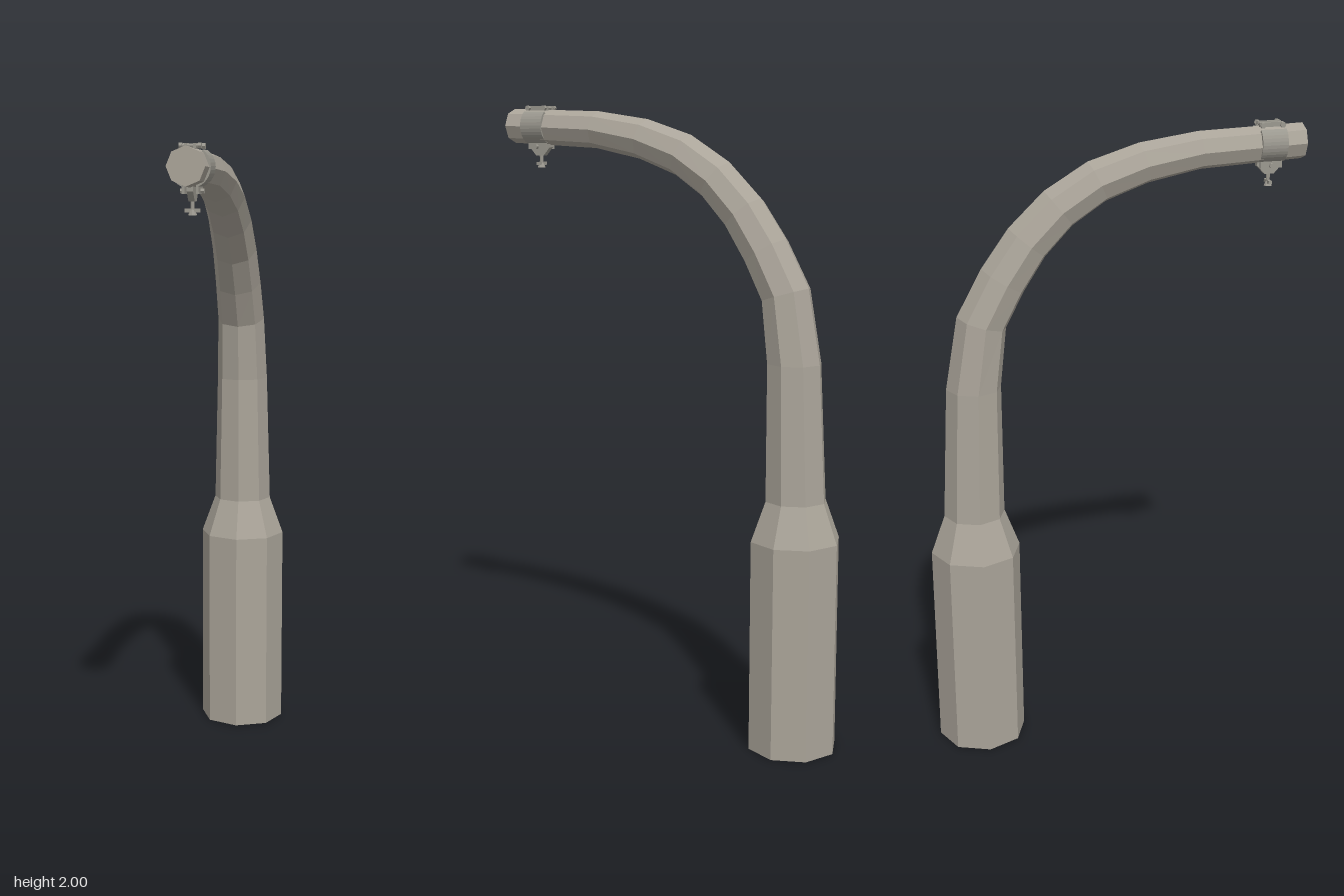
import * as THREE from 'three';

const postGrey = new THREE.MeshStandardMaterial({ color: 0xaaa499, flatShading: true });
postGrey.name = 'warm grey';
const clampGrey = new THREE.MeshStandardMaterial({ color: 0x9b988f, flatShading: true });
clampGrey.name = 'clamp grey';

// Octagonal loft along stations of [z, y, radius, optional tangent angle from vertical]
function loft(stations, sides = 8) {
  const pos = [], idx = [];
  stations.forEach(([z, y, r, lean], i) => {
    const a = stations[Math.max(i - 1, 0)], b = stations[Math.min(i + 1, stations.length - 1)];
    const ang = lean ?? Math.atan2(b[0] - a[0], b[1] - a[1]);
    for (let j = 0; j < sides; j++) {
      const t = j / sides * Math.PI * 2;
      const u = Math.cos(t) * r, v = Math.sin(t) * r;
      pos.push(u, y - v * Math.sin(ang), z + v * Math.cos(ang));
    }
  });
  const last = (stations.length - 1) * sides;
  for (let j = 0; j < sides; j++) {
    const k = (j + 1) % sides;
    for (let o = 0; o < last; o += sides) {
      idx.push(o + j, o + sides + j, o + k, o + k, o + sides + j, o + sides + k);
    }
    // end caps
    if (j > 0 && k > 0) {
      idx.push(0, j, k);
      idx.push(last, last + k, last + j);
    }
  }
  const g = new THREE.BufferGeometry();
  g.setAttribute('position', new THREE.Float32BufferAttribute(pos, 3));
  g.setIndex(idx);
  const flat = g.toNonIndexed();
  flat.computeVertexNormals();
  return flat;
}

export function createModel() {
  const model = new THREE.Group();
  model.name = 'streetPole';

  const add = (parent, name, geo, mat, x = 0, y = 0, z = 0) => {
    const m = new THREE.Mesh(geo, mat);
    m.name = name;
    m.position.set(x, y, z);
    parent.add(m);
    return m;
  };

  // Wide base, shoulder and curved tapering arm
  add(model, 'pole', loft([
    [-0.457, 0, 0.143, 0], [-0.457, 0.675, 0.143, 0], [-0.457, 0.8, 0.097, 0],
    [-0.445, 1.225, 0.086, 0], [-0.414, 1.432, 0.079], [-0.345, 1.56, 0.076],
    [-0.268, 1.672, 0.073], [-0.17, 1.77, 0.07], [-0.05, 1.845, 0.067],
    [0.095, 1.893, 0.063], [0.27, 1.922, 0.058], [0.6, 1.935, 0.055, Math.PI / 2],
  ]), postGrey);

  // Clamp near the tip of the arm
  const clamp = new THREE.Group();
  clamp.name = 'clamp';
  clamp.position.set(0, 1.934, 0.495);
  model.add(clamp);

  // Side straps hugging the arm
  for (const s of [-1, 1]) {
    const a0 = s > 0 ? -1.2 : Math.PI - 0.9, a1 = s > 0 ? 0.9 : Math.PI + 1.2;
    const shape = new THREE.Shape();
    shape.absarc(0, 0, 0.059, a0, a1, false);
    shape.absarc(0, 0, 0.05, a1, a0, true);
    const strap = new THREE.ExtrudeGeometry(shape, { depth: 0.082, bevelEnabled: false, curveSegments: 6 });
    add(clamp, 'sideStrap', strap, clampGrey, 0, 0, -0.041);
    // Top tightening bar with knobs at both ends
    add(clamp, 'topBar', new THREE.BoxGeometry(0.008, 0.014, 0.076), clampGrey, s * 0.013, 0.057, 0);
    const rod = new THREE.CylinderGeometry(0.005, 0.005, 0.062, 8);
    add(clamp, 'crossBolt', rod, clampGrey, 0, 0.057, s * 0.032).rotation.z = Math.PI / 2;
    for (const e of [-1, 1]) {
      const head = new THREE.CylinderGeometry(0.009, 0.009, 0.009, 6);
      add(clamp, 'boltHead', head, clampGrey, e * 0.027, 0.057, s * 0.032).rotation.z = Math.PI / 2;
    }
    // Lower ears and their bolts
    add(clamp, 'lowerEar', new THREE.BoxGeometry(0.008, 0.032, 0.07), clampGrey, s * 0.02, -0.058, 0);
    const nut = new THREE.CylinderGeometry(0.008, 0.008, 0.01, 6);
    add(clamp, 'earNut', nut, clampGrey, s * 0.029, -0.066, 0).rotation.z = Math.PI / 2;
  }

  // Tapered hanging lug between the ears
  const lug = new THREE.Shape();
  lug.moveTo(-0.04, 0);
  lug.lineTo(-0.04, -0.02);
  lug.lineTo(-0.015, -0.047);
  lug.lineTo(0.015, -0.047);
  lug.lineTo(0.04, -0.02);
  lug.lineTo(0.04, 0);
  const lugGeo = new THREE.ExtrudeGeometry(lug, { depth: 0.018, bevelEnabled: false });
  lugGeo.translate(0, 0, -0.009);
  add(clamp, 'hangingLug', lugGeo, clampGrey, 0, -0.048, 0).rotation.y = Math.PI / 2;

  // Stem with a winged foot
  add(clamp, 'stem', new THREE.CylinderGeometry(0.006, 0.006, 0.036, 8), clampGrey, 0, -0.108, 0);
  const wing = new THREE.CylinderGeometry(0.006, 0.013, 0.016, 8);
  add(clamp, 'foot', wing, clampGrey, 0, -0.125, 0);
  add(clamp, 'footBar', new THREE.BoxGeometry(0.044, 0.01, 0.01), clampGrey, 0, -0.12, 0);

  return model;
}
